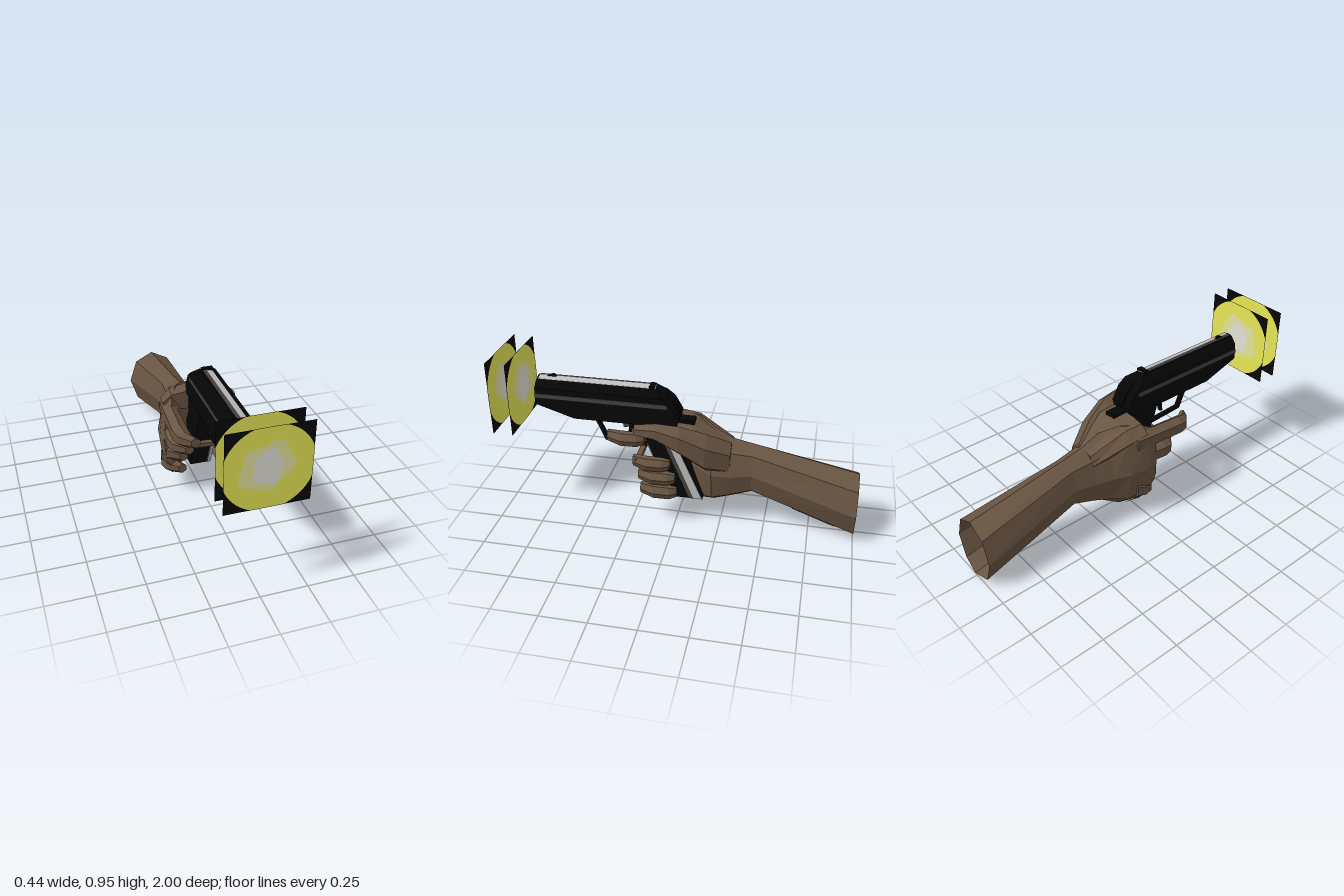
import * as THREE from 'three';

const paint = (name, color, side = THREE.FrontSide) => {
  const m = new THREE.MeshStandardMaterial({ color, side, flatShading: true });
  m.name = name;
  return m;
};

export function createModel() {
  const skin = paint('skin brown', 0x6a5543, THREE.DoubleSide);
  const patchGrey = paint('dark slate', 0x363839, THREE.DoubleSide);
  const black = paint('gun black', 0x060606, THREE.DoubleSide);
  const steel = paint('dark steel', 0x464242);
  const silver = paint('silver', 0xbebebe);
  const yellow = paint('flash yellow', 0xe8e858, THREE.DoubleSide);
  const tan = paint('flash tan', 0xe6e49c, THREE.DoubleSide);
  const pale = paint('flash pale', 0xe4e1d8, THREE.DoubleSide);

  const model = new THREE.Group();
  const add = (name, geometry, material, parent = model) => {
    const mesh = new THREE.Mesh(geometry, material);
    mesh.name = name;
    parent.add(mesh);
    return mesh;
  };

  // Faceted limb: elliptical rings [z, cx, cy, rx, ry] joined along z
  const loft = (rings, n, openBack = false, turn = -Math.PI / 2) => {
    const pos = [], idx = [];
    for (const [z, cx, cy, rx, ry] of rings)
      for (let j = 0; j < n; j++) {
        const a = turn + (j / n) * Math.PI * 2;
        pos.push(cx + rx * Math.cos(a), cy + ry * Math.sin(a), z);
      }
    for (let i = 0; i < rings.length - 1; i++)
      for (let j = 0; j < n; j++) {
        const a = i * n + j, b = i * n + (j + 1) % n;
        idx.push(a, b, a + n, b, b + n, a + n);
      }
    const last = (rings.length - 1) * n;
    for (let j = 1; j < n - 1; j++) {
      idx.push(last, last + j, last + j + 1);
      if (!openBack) idx.push(0, j + 1, j);
    }
    const g = new THREE.BufferGeometry();
    g.setAttribute('position', new THREE.Float32BufferAttribute(pos, 3));
    g.setIndex(idx);
    g.computeVertexNormals();
    return g;
  };

  // Thin painted patch: a fan of corners
  const fan = pts => {
    const g = new THREE.BufferGeometry();
    g.setAttribute('position', new THREE.Float32BufferAttribute(pts.flat(), 3));
    g.setIndex(pts.slice(2).flatMap((_, i) => [0, i + 1, i + 2]));
    g.computeVertexNormals();
    return g;
  };

  const outline = pts => new THREE.Shape(pts.map(p => new THREE.Vector2(...p)));
  const extrude = (pts, depth) =>
    new THREE.ExtrudeGeometry(outline(pts), { depth, bevelEnabled: false });
  // Side outline of [z, y] points given a width across x
  const side = (pts, width, cx = 0.01) =>
    extrude(pts, width).rotateY(-Math.PI / 2).translate(cx + width / 2, 0, 0);
  const box = (w, h, d, x, y, z) => new THREE.BoxGeometry(w, h, d).translate(x, y, z);

  // Forearm, open at the back, running into the palm and the back of the hand
  const hand = new THREE.Group();
  hand.name = 'hand';
  model.add(hand);
  const arm = loft([
    [-1, -0.005, 0.19, 0.15, 0.19],
    [-0.42, -0.02, 0.34, 0.095, 0.155],
    [-0.3, -0.02, 0.33, 0.115, 0.19],
    [-0.2, -0.03, 0.335, 0.135, 0.235],
    [-0.11, -0.085, 0.335, 0.115, 0.27],
    [0, -0.15, 0.345, 0.07, 0.25],
    [0.06, -0.16, 0.36, 0.05, 0.2],
  ], 8, true);
  arm.attributes.position.setX(0, 0.02);
  add('forearmAndPalm', arm, skin, hand);
  add('thumb', loft([
    [-0.3, 0.02, 0.41, 0.07, 0.1],
    [-0.17, 0.085, 0.47, 0.08, 0.115],
    [-0.03, 0.13, 0.555, 0.062, 0.085],
    [0.1, 0.14, 0.6, 0.045, 0.05],
    [0.22, 0.125, 0.59, 0.032, 0.032],
  ], 6), skin, hand);
  add('thumbWeb', loft([
    [-0.3, -0.02, 0.44, 0.09, 0.07],
    [-0.1, -0.015, 0.54, 0.17, 0.075],
    [0.0, -0.015, 0.56, 0.185, 0.06],
  ], 8), skin, hand);

  // Fingers: base on one side of the grip, tip on the other
  // [name, base y, base reach, tip y, tip reach]
  const fingers = [['index', 0.5, 0.34, 0.525, 0.38], ['middle', 0.39, 0.23, 0.38, 0.24],
    ['ring', 0.28, 0.12, 0.295, 0.21], ['little', 0.18, 0.09, 0.205, 0.2]];
  for (const [name, y, reach, tipY, tipZ] of fingers) {
    add(name + 'FingerBase', loft([
      [-0.06, -0.16, y + 0.01, 0.045, 0.06],
      [reach - 0.1, -0.17, y, 0.047, 0.054],
      [reach - 0.05, -0.16, y - 0.005, 0.042, 0.045],
      [reach, -0.115, y - 0.005, 0.028, 0.03],
    ], 6), skin, hand);
    add(name + 'FingerTip', loft([
      [tipZ - 0.21, 0.105, tipY, 0.022, 0.03],
      [tipZ - 0.17, 0.115, tipY, 0.034, 0.043],
      [tipZ - 0.08, 0.115, tipY, 0.036, 0.044],
      [tipZ, 0.09, tipY, 0.025, 0.034],
    ], 6, false, 0), skin, hand);
  }
  add('middleFingerCrossing', box(0.2, 0.025, 0.03, 0, 0.395, 0.21).rotateZ(-0.05), skin, hand);

  // Dark patches: across the lower ridge of the forearm (both faces) and on the heel
  const armPatch = fan([[0.013, 0.032, -0.9], [0.054, 0.082, -0.84], [0.044, 0.12, -0.72],
    [-0.004, 0.112, -0.65], [-0.056, 0.113, -0.72], [-0.05, 0.076, -0.84]]);
  for (const y of [-0.006, 0.008]) add('forearmPatch', armPatch, patchGrey, hand).position.y = y;
  add('heelPatch', fan([[-0.118, 0.082, -0.1], [-0.159, 0.124, -0.1],
    [-0.189, 0.14, -0.02], [-0.152, 0.094, -0.02]]), patchGrey, hand);

  // Gun frame and slide with a slightly slanted top
  const gun = new THREE.Group();
  gun.name = 'pistol';
  model.add(gun);
  add('frame', side([[0.79, 0.67], [0.79, 0.73], [0.03, 0.73], [-0.015, 0.65],
    [0, 0.6], [0.57, 0.6]], 0.145), black, gun);
  const slide = extrude([[-0.0725, 0.73], [0.0725, 0.73], [0.068, 0.765], [0.026, 0.8],
    [-0.012, 0.81], [-0.035, 0.805], [-0.068, 0.765]], 0.76).translate(0.01, 0, 0.03);
  const p = slide.attributes.position;
  for (let i = 0; i < p.count; i++)
    if (p.getZ(i) < 0.1) p.setZ(i, 0.03 + (p.getY(i) - 0.73) * 1.2);
  slide.computeVertexNormals();
  add('slide', slide, black, gun);
  add('topStrip', extrude([[-0.002, 0.809], [0.034, 0.799], [0.035, 0.802], [-0.001, 0.812]], 0.66)
    .translate(0, 0, 0.12), silver, gun);
  add('topStripShade', box(0.016, 0.004, 0.66, -0.011, 0.809, 0.45), steel, gun);
  add('frontSight', side([[0.76, 0.8], [0.7, 0.825], [0.67, 0.8]], 0.015, 0), black, gun);
  add('rearSight', box(0.06, 0.03, 0.03, 0.01, 0.8, 0.14), black, gun);
  for (const s of [-1, 1])
    add('slideStripe', box(0.006, 0.024, 0.74, 0.01 + s * 0.073, 0.722, 0.42), steel, gun);
  add('tang', box(0.065, 0.045, 0.12, 0.005, 0.607, -0.035), black, gun);
  add('hammer', side([[0.05, 0.65], [0.06, 0.77], [0.01, 0.72], [-0.02, 0.65]], 0.03), black, gun);

  // Grip with bright edges, each bordered by a darker band
  add('grip', side([[0.2, 0.6], [0.18, 0.53], [0.03, 0.15], [-0.15, 0.15],
    [0, 0.5], [0, 0.6]], 0.12), black, gun);
  add('gripRearStrip', side([[0.05, 0.51], [0.005, 0.5], [-0.148, 0.152], [-0.1, 0.152]],
    0.006, 0.072), silver, gun);
  add('gripRearShade', side([[0.075, 0.51], [0.05, 0.51], [-0.1, 0.152], [-0.075, 0.152]],
    0.005, 0.072), steel, gun);
  const frontEdge = [[0.165, 0.475], [0.033, 0.15], [0.027, 0.15], [0.155, 0.475]];
  add('gripFrontStrip', side(frontEdge, 0.017, 0.0605), silver, gun);
  add('gripFrontShade', side(frontEdge, 0.008, 0.048), steel, gun);

  // Trigger guard and trigger
  add('triggerGuard', side([[0.485, 0.61], [0.415, 0.45], [0.17, 0.435], [0.17, 0.45],
    [0.4, 0.465], [0.465, 0.61]], 0.025), black, gun);
  add('trigger', side([[0.27, 0.6], [0.24, 0.6], [0.27, 0.49], [0.285, 0.49]], 0.02), black, gun);

  // Muzzle flash cards, painted on both faces
  const half = 0.21;
  const blot = radius => {
    const pts = [];
    for (let i = 0; i < 72; i++) {
      const a = (i / 72) * Math.PI * 2, r = radius(a);
      pts.push([r * Math.cos(a), r * Math.sin(a)]);
    }
    return new THREE.ShapeGeometry(outline(pts));
  };
  const disc = blot(a => Math.min(0.223, half / Math.max(Math.abs(Math.cos(a)), Math.abs(Math.sin(a)))));
  const glow = blot(a => 0.126 + 0.01 * Math.sin(2 * a + 0.4) + 0.012 * Math.sin(5 * a + 2.2));
  const core = blot(a => 0.08 - 0.012 * Math.cos(2 * a) + 0.008 * Math.sin(5 * a + 1));
  for (const z of [0.995, 0.885]) {
    const flash = new THREE.Group();
    flash.name = 'muzzleFlash';
    flash.position.set(0.011, 0.742, z);
    model.add(flash);
    add('flashCard', new THREE.PlaneGeometry(half * 2, half * 2), black, flash);
    for (const s of [-1, 1]) {
      add('flashDisc', disc, yellow, flash).position.z = s * 0.0015;
      add('flashGlow', glow, tan, flash).position.set(-0.012, 0.012, s * 0.003);
      add('flashCore', core, pale, flash).position.set(-0.005, 0.008, s * 0.0045);
    }
  }
  return model;
}
